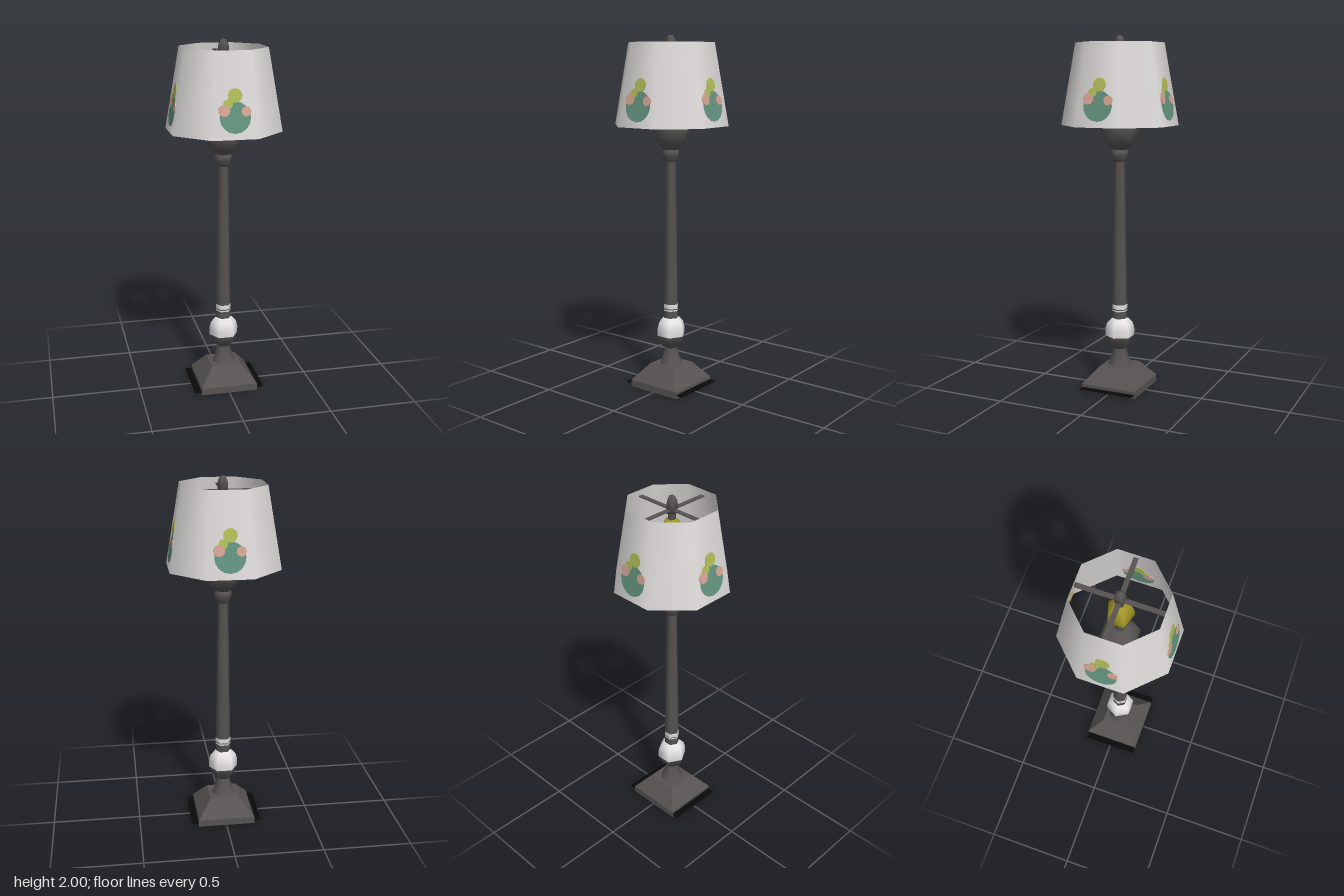
import * as THREE from 'three';

const mat = (name, color, side = THREE.FrontSide) => {
  const m = new THREE.MeshStandardMaterial({ color, side });
  m.name = name;
  return m;
};

export function createModel() {
  const lamp = new THREE.Group();
  lamp.name = 'tableLamp';

  const dark = mat('darkMetal', 0x575353);
  const white = mat('whiteCeramic', 0xe6e4e4);
  const cloth = mat('shadeCloth', 0xe0dcdc, THREE.DoubleSide);
  const black = mat('blackFelt', 0x0a0a0a, THREE.DoubleSide);
  const bulbYellow = mat('bulbYellow', 0xa39626);
  const green = mat('leafGreen', 0x64947f);
  const pink = mat('petalPink', 0xd6a594);
  const lime = mat('budLime', 0xb0bc58);

  const add = (name, geometry, material, parent = lamp) => {
    const mesh = new THREE.Mesh(geometry, material);
    mesh.name = name;
    parent.add(mesh);
    return mesh;
  };

  // Turned part with a few sides and one corner on the x axis; points run upward
  const turned = (name, points, material, sides = 6) => add(name,
    new THREE.LatheGeometry(points.map(([r, y]) => new THREE.Vector2(r, y)), sides, Math.PI / 2), material);

  // Square foot: plinth, sloped top and thin felt sheet
  add('plinth', new THREE.BoxGeometry(0.326, 0.04, 0.326), dark).position.y = 0.02;
  const slope = new THREE.CylinderGeometry(0.085 * Math.SQRT2, 0.163 * Math.SQRT2, 0.095, 4, 1, false, Math.PI / 4).toNonIndexed();
  slope.computeVertexNormals();
  add('slopedFoot', slope, dark).position.y = 0.0875;
  add('feltSheet', new THREE.BoxGeometry(0.404, 0.005, 0.32), black).position.y = 0.02;

  // Stem from the foot upward
  turned('flaredNeck', [[0.074, 0.13], [0.055, 0.165], [0.042, 0.21], [0.036, 0.235]], dark);
  turned('lowerKnobDark', [[0.036, 0.23], [0.062, 0.255], [0.08, 0.29], [0.083, 0.305]], dark);
  turned('lowerKnobWhite', [[0.083, 0.305], [0.084, 0.345], [0.074, 0.38], [0.05, 0.405], [0.04, 0.41]], white);
  turned('column', [[0.043, 0.4], [0.042, 0.5], [0.036, 0.9], [0.029, 1.315]], dark);
  turned('thinBand', [[0.041, 0.449], [0.0435, 0.45], [0.0435, 0.457], [0.041, 0.458]], white);
  turned('wideBand', [[0.041, 0.463], [0.0435, 0.464], [0.043, 0.489], [0.041, 0.49]], white);
  turned('collar', [[0.028, 1.305], [0.036, 1.315], [0.051, 1.345], [0.048, 1.365], [0.036, 1.38]], dark);
  turned('upperKnob', [[0.036, 1.37], [0.075, 1.405], [0.1, 1.45], [0.108, 1.5], [0.095, 1.545], [0.06, 1.58], [0.02, 1.59]], dark);

  // Bulb, inner post and finial
  turned('innerPost', [[0.026, 1.57], [0.026, 1.7], [0.02, 1.93]], dark);
  turned('bulb', [[0.026, 1.67], [0.06, 1.71], [0.074, 1.76], [0.066, 1.82], [0.04, 1.865], [0, 1.88]], bulbYellow, 5);
  turned('finial', [[0, 1.9], [0.029, 1.905], [0.031, 1.955], [0.027, 1.975], [0.016, 1.996], [0, 2]], dark, 5);

  // Cross bars holding the shade
  for (let i = 0; i < 2; i++) {
    const bar = add('shadeBar', new THREE.BoxGeometry(0.455, 0.006, 0.025), dark);
    bar.position.y = 1.925;
    bar.rotation.y = i * Math.PI / 2;
  }

  // Eight-sided open shade with its flat sides on the axes
  const k = 1 / Math.cos(Math.PI / 8);
  add('shade', new THREE.CylinderGeometry(0.226 * k, 0.301 * k, 0.45, 8, 1, true, Math.PI / 8), cloth).position.y = 1.735;

  // Painted flower on four sides: thin discs showing both outside and inside
  const flower = [
    ['leaves', 0, 0.115, 0.083, 0.004, green],
    ['leftBud', -0.035, 0.185, 0.025, 0.005, lime],
    ['topBud', 0.003, 0.228, 0.037, 0.006, lime],
    ['leftPetal', -0.057, 0.152, 0.031, 0.008, pink],
    ['rightPetal', 0.059, 0.145, 0.026, 0.008, pink],
  ];
  for (let i = 0; i < 4; i++) {
    const side = new THREE.Group();
    side.name = 'shadeSide';
    side.rotation.y = i * Math.PI / 2;
    const panel = new THREE.Group();
    panel.name = 'paintedFlower';
    panel.position.set(0, 1.51, 0.301);
    panel.rotation.x = -Math.atan2(0.075, 0.45);
    for (const [name, x, y, r, t, material] of flower) {
      const disc = add(name, new THREE.CylinderGeometry(r, r, t, 16).rotateX(Math.PI / 2), material, panel);
      disc.position.set(x, y, 0);
    }
    side.add(panel);
    lamp.add(side);
  }

  return lamp;
}
